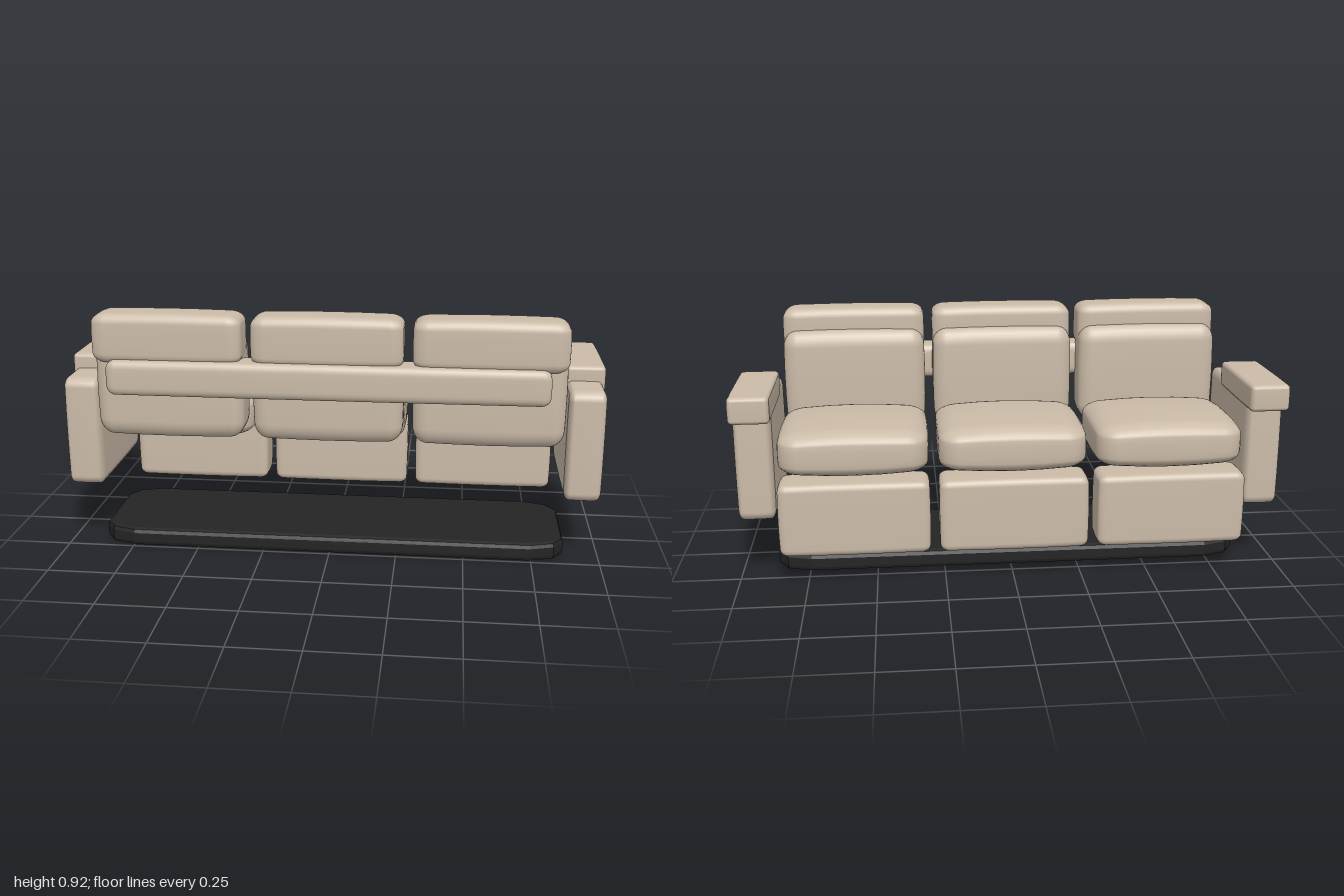
import * as THREE from 'three';
import { mergeVertices } from 'three/addons/utils/BufferGeometryUtils.js';

const fabric = new THREE.MeshStandardMaterial({ color: 0xcbbba8 });
const dark = new THREE.MeshStandardMaterial({ color: 0x242424, flatShading: true });

// Padded block between two corners, with its own corner radius and bulge per axis
function pad(name, min, max, radius, bulge) {
  let geo = new THREE.BoxGeometry(10, 10, 10, 10, 10, 10);
  geo.deleteAttribute('uv');
  geo.deleteAttribute('normal');
  geo = mergeVertices(geo);
  const half = max.map((m, a) => (m - min[a]) / 2);
  const pos = geo.attributes.position;
  for (let v = 0; v < pos.count; v++) {
    const grid = [pos.getX(v), pos.getY(v), pos.getZ(v)];
    // Levels up to 2 lie on the flat faces, levels 2 to 5 run round the corner
    const dir = new THREE.Vector3(...grid.map((g) =>
      Math.sign(g) * Math.tan(Math.max(0, Math.abs(g) - 2) / 3 * Math.PI / 4))).normalize().toArray();
    const p = grid.map((g, a) =>
      THREE.MathUtils.clamp(g, -2, 2) / 2 * (half[a] - radius[a]) + dir[a] * radius[a]);
    const n = p.map((c, a) => c / half[a]);
    const q = p.map((c, a) => {
      const u = n[(a + 1) % 3], w = n[(a + 2) % 3];
      return c * (1 - bulge[a] * (u * u + w * w) / 2);
    });
    pos.setXYZ(v, ...q);
  }
  geo.computeVertexNormals();
  const mesh = new THREE.Mesh(geo, fabric);
  mesh.name = name;
  mesh.position.set(...max.map((m, a) => (m + min[a]) / 2));
  return mesh;
}

// Flat plinth with cut corners and a bevelled rim
function plinth() {
  const b = 0.018, x = 0.87 - b, z = 0.23 - b;
  const outline = [
    [x, -z + 0.07], [x, z - 0.07], [x - 0.03, z - 0.025], [x - 0.11, z],
    [-x + 0.11, z], [-x + 0.03, z - 0.025], [-x, z - 0.07], [-x, -z + 0.07],
    [-x + 0.03, -z + 0.025], [-x + 0.11, -z], [x - 0.11, -z], [x - 0.03, -z + 0.025],
  ].map(([u, v]) => new THREE.Vector2(u, v));
  const geo = new THREE.ExtrudeGeometry(new THREE.Shape(outline), {
    depth: 0.034, bevelThickness: 0.018, bevelSize: b, bevelSegments: 2,
  });
  geo.rotateX(-Math.PI / 2);
  const mesh = new THREE.Mesh(geo, dark);
  mesh.name = 'base';
  mesh.position.set(0, 0.02, 0.02);
  return mesh;
}

export function createModel() {
  const sofa = new THREE.Group();
  sofa.name = 'sofa';
  sofa.add(plinth());

  // Three places, each with footrest, seat, back and headrest
  ['right', 'middle', 'left'].forEach((side, i) => {
    const place = new THREE.Group();
    place.name = side + 'Place';
    place.position.x = (i - 1) * 0.573;
    const w = 0.272;
    place.add(
      pad('footrest', [-w, 0.123, -0.365], [w, 0.395, -0.205], [0.03, 0.025, 0.02], [0.02, 0.03, 0.03]),
      pad('seatCushion', [-w, 0.39, -0.335], [w, 0.58, 0.13], [0.07, 0.045, 0.07], [0.04, 0.3, 0.04]),
      pad('backCushion', [-w, 0.455, 0.13], [w, 0.842, 0.31], [0.05, 0.06, 0.04], [0.03, 0.05, 0.08]),
      pad('headrest', [-w, 0.735, 0.18], [w, 0.922, 0.34], [0.05, 0.035, 0.03], [0.02, 0.08, 0.04]),
    );
    sofa.add(place);
  });

  // Rail joining the backs
  sofa.add(pad('backRail', [-0.79, 0.628, 0.24], [0.785, 0.757, 0.367], [0.03, 0.03, 0.02], [0.01, 0.03, 0.03]));

  // Side panels with a padded armrest on top
  for (const s of [-1, 1]) {
    const arm = new THREE.Group();
    arm.name = s > 0 ? 'leftArm' : 'rightArm';
    const [a, b] = s > 0 ? [0.855, 0.993] : [-0.993, -0.855];
    const [c, d] = s > 0 ? [0.853, 1] : [-1, -0.853];
    arm.add(
      pad('armPanel', [a, 0.235, -0.29], [b, 0.655, 0.242], [0.02, 0.035, 0.04], [0.03, 0.02, 0.02]),
      pad('armrest', [c, 0.61, -0.333], [d, 0.71, 0.082], [0.015, 0.015, 0.02], [0.02, 0.03, 0.01]),
    );
    sofa.add(arm);
  }
  return sofa;
}
